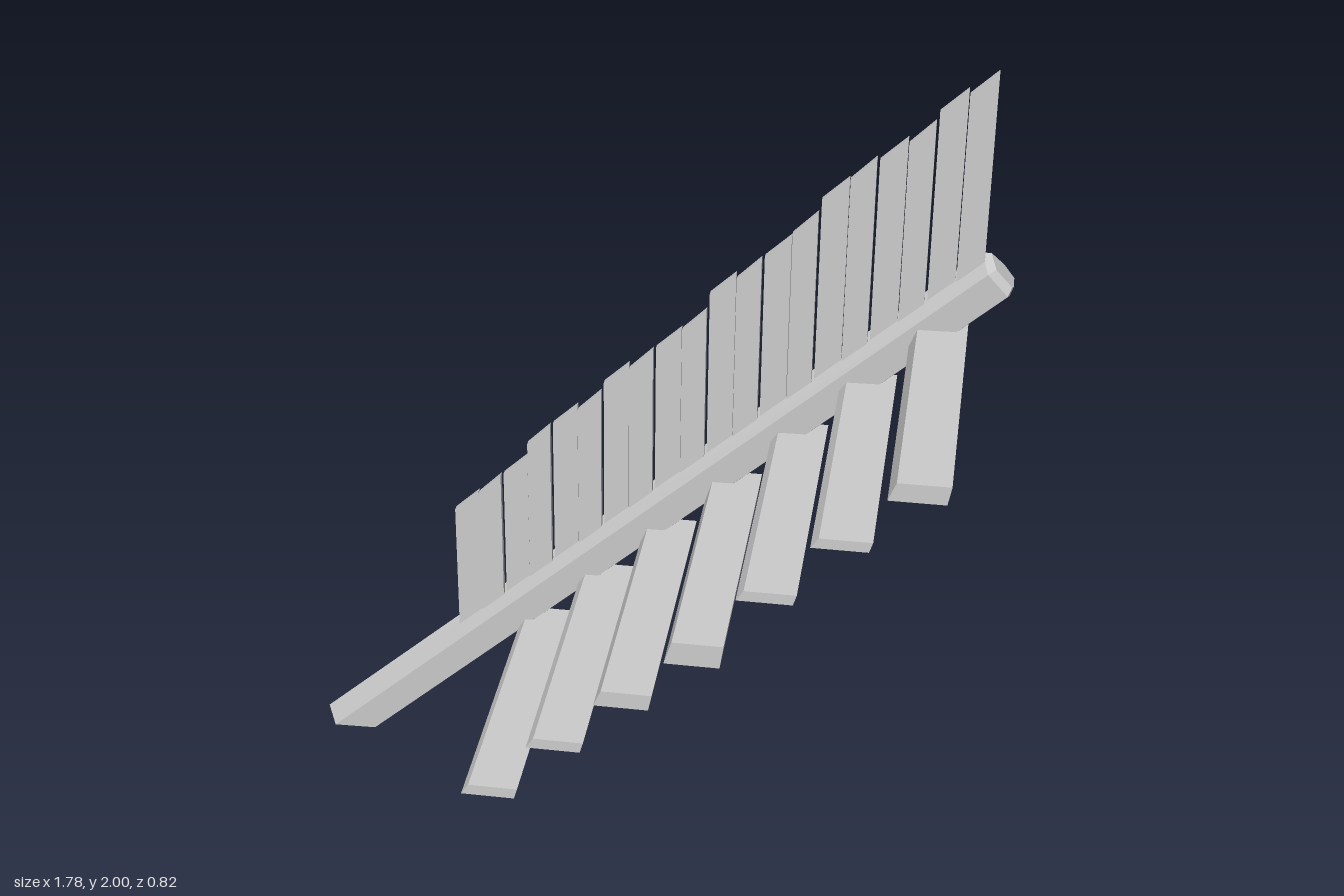
import * as THREE from 'three';

const material = new THREE.MeshStandardMaterial({ color: 0xcccccc, flatShading: true });

// Joins rings of corners into a closed, faceted solid
function loft(rings) {
  const n = rings[0].length, index = [], last = (rings.length - 1) * n;
  for (let r = 0; r < rings.length - 1; r++) {
    for (let i = 0; i < n; i++) {
      const a = r * n + i, b = r * n + (i + 1) % n;
      index.push(a, b, b + n, a, b + n, a + n);
    }
  }
  for (let i = 1; i < n - 1; i++) {
    index.push(0, i + 1, i, last, last + i, last + i + 1);
  }
  const indexed = new THREE.BufferGeometry();
  indexed.setAttribute('position', new THREE.Float32BufferAttribute(rings.flat(2), 3));
  indexed.setIndex(index);
  const geometry = indexed.toNonIndexed();
  geometry.computeVertexNormals();
  return geometry;
}

// Extrudes an outline in x and y between two depths
function slab(name, points, zBack, zFront) {
  const shape = new THREE.Shape(points.map(([x, y]) => new THREE.Vector2(x, y)));
  const geometry = new THREE.ExtrudeGeometry(shape, { depth: zFront - zBack, bevelEnabled: false });
  geometry.translate(0, 0, zBack);
  const mesh = new THREE.Mesh(geometry, material);
  mesh.name = name;
  return mesh;
}

export function createModel() {
  const model = new THREE.Group();
  model.name = 'staircase';

  // Sloping beam: section as [share of the way from top ridge to underside, z]
  const section = [[0, -0.39], [0.25, -0.303], [0.94, -0.307], [1, -0.325], [1, -0.40], [0.55, -0.415]];
  const foot = section.map(([t, z]) => [-0.89 + 0.16 * t, 0, z]);
  const head = section.map(([t, z]) => [0.805 + 0.073 * t, 1.523 - 0.081 * t, -0.365 + (z + 0.36) * 0.9]);
  const cap = section.map(([t, z]) => {
    const s = 0.1 + 0.8 * t;
    return [0.82 + 0.073 * s, 1.535 - 0.081 * s, -0.365 + (z + 0.36) * 0.65];
  });
  const beam = new THREE.Mesh(loft([foot, head, cap]), material);
  beam.name = 'beam';
  model.add(beam);

  // Treads with an undercut leading edge: [left x, underside y, top y]
  const treads = new THREE.Group();
  treads.name = 'treads';
  [
    [-0.33, 0.375, 0.403], [-0.168, 0.532, 0.56], [-0.005, 0.674, 0.716], [0.16, 0.812, 0.872],
    [0.322, 1.003, 1.03], [0.485, 1.16, 1.186], [0.648, 1.298, 1.344],
  ].forEach(([x, low, high]) => {
    treads.add(slab('tread', [[x, low], [x + 0.13, low], [x + 0.138, high], [x + 0.018, high]], -0.37, 0.41));
  });
  model.add(treads);

  // Upright railing boards, unevenly cut and slightly staggered in depth
  const railing = new THREE.Group();
  railing.name = 'railing';
  const tops = [0.70, 0.76, 0.82, 0.92, 0.98, 1.03, 1.11, 1.16, 1.22, 1.28,
    1.38, 1.43, 1.49, 1.56, 1.65, 1.71, 1.76, 1.81, 1.89, 1.94];
  const step = 1.315 / tops.length;
  tops.forEach((top, i) => {
    const x0 = -0.5 + i * step, x1 = x0 + step - (i % 2 && i < 19 ? 0.006 : 0.002);
    const z = i % 2 ? -0.36 : -0.369;
    const base = (x) => 0.34 + 0.9 * (x + 0.5);
    railing.add(slab('railingBoard', [[x0, base(x0)], [x1, base(x1)], [x1, top + 0.06], [x0, top]], z, z + 0.017));
  });
  model.add(railing);
  return model;
}
